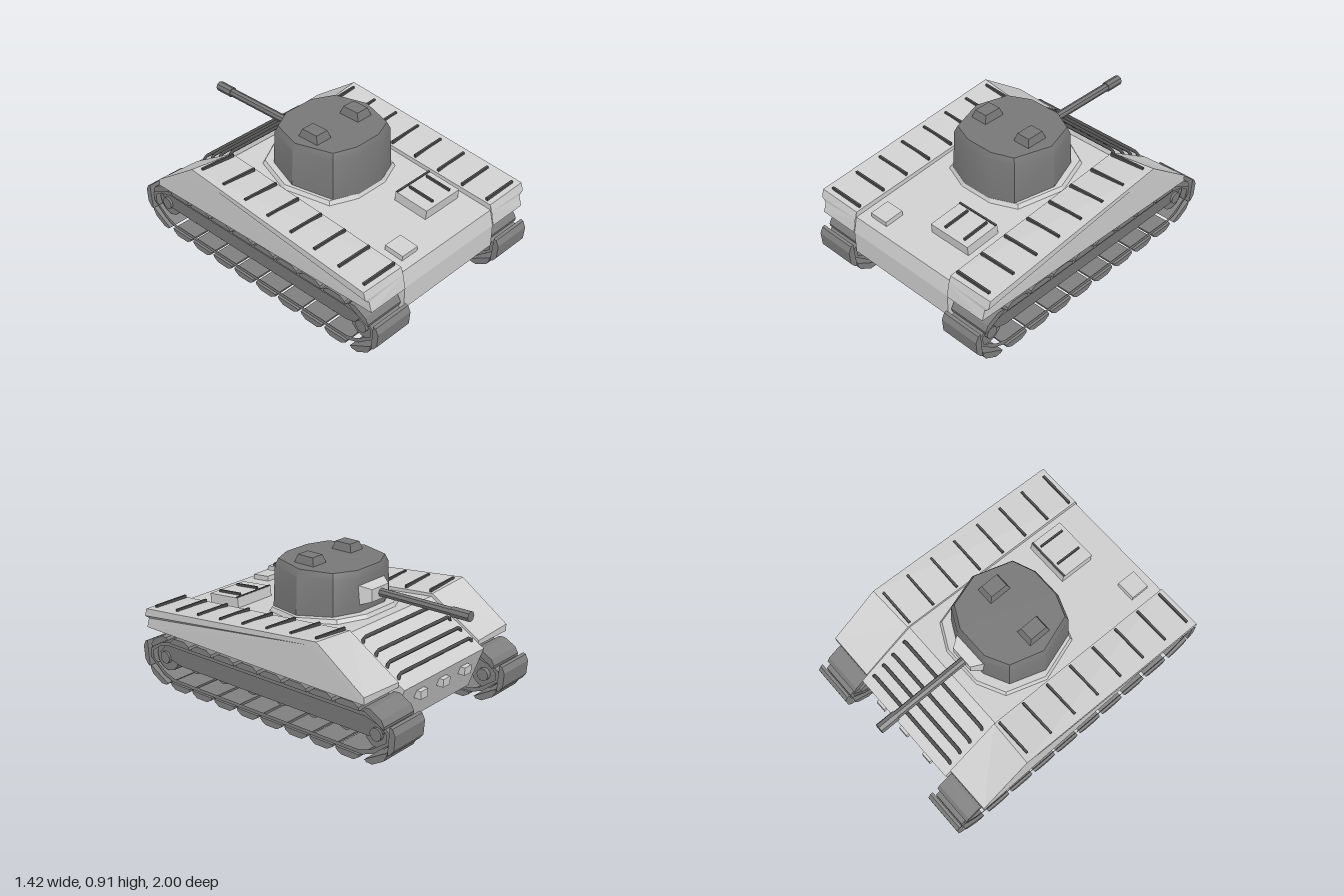
import * as THREE from 'three';
import { toCreasedNormals } from 'three/addons/utils/BufferGeometryUtils.js';

const mat = (name, color, side = THREE.FrontSide) => {
  const m = new THREE.MeshStandardMaterial({ color, side });
  m.name = name;
  return m;
};

// Extrudes a side profile of [z, y] points from x0 to x1
function profile(points, x0, x1, hole) {
  const toShape = (p) => p.map(([z, y]) => new THREE.Vector2(-z, y));
  const shape = new THREE.Shape(toShape(points));
  if (hole) shape.holes.push(new THREE.Path(toShape(hole)));
  const g = new THREE.ExtrudeGeometry(shape, { depth: x1 - x0, bevelEnabled: false });
  return g.rotateY(Math.PI / 2).translate(x0, 0, 0);
}

// Flat polygons, each a loop of [x, y, z] corners
function polygons(faces) {
  const pos = [];
  for (const f of faces)
    for (let i = 1; i < f.length - 1; i++) pos.push(...f[0], ...f[i], ...f[i + 1]);
  const g = new THREE.BufferGeometry();
  g.setAttribute('position', new THREE.Float32BufferAttribute(pos, 3));
  g.computeVertexNormals();
  return g;
}

// Stacks an [x, z] outline at [y, scale] levels, with a cap; slope tilts it along z
function stack(outline, levels, slope = 0, dz = 0) {
  const rings = levels.map(([y, s]) => outline.map(([x, z]) => [x * s, y - slope * z * s, z * s + dz]));
  const faces = [rings[rings.length - 1]];
  for (let k = 0; k < rings.length - 1; k++)
    outline.forEach((_, i) => {
      const j = (i + 1) % outline.length;
      faces.push([rings[k][i], rings[k][j], rings[k + 1][j], rings[k + 1][i]]);
    });
  return polygons(faces);
}

// Block whose top is smaller than its base
function taperedBlock(w, h, d, t) {
  const g = new THREE.BoxGeometry(w, h, d);
  const p = g.attributes.position;
  for (let i = 0; i < p.count; i++)
    if (p.getY(i) > 0) p.setXYZ(i, p.getX(i) * t, p.getY(i), p.getZ(i) * t);
  g.computeVertexNormals();
  return g;
}

export function createModel() {
  const model = new THREE.Group();
  const light = mat('hull light grey', 0xcfcfcf);
  const lightOpen = mat('fender light grey', 0xcfcfcf, THREE.DoubleSide);
  const dark = mat('turret grey', 0x777777);
  const trackGrey = mat('track grey', 0x7f7f7f);
  const trim = mat('dark trim', 0x505050);

  const add = (parent, name, geo, material, x = 0, y = 0, z = 0) => {
    const m = new THREE.Mesh(geo, material);
    m.name = name;
    m.position.set(x, y, z);
    parent.add(m);
    return m;
  };

  // Hull
  add(model, 'hull', profile([[0.92, 0.47], [0.945, 0.37], [0.945, 0.22], [0.76, 0.09], [-0.75, 0.09],
    [-0.85, 0.36], [-0.45, 0.6]], -0.4, 0.4), light);

  // Rear deck boxes
  const slant = Math.atan(0.095);
  const locker = add(model, 'deckLocker', new THREE.BoxGeometry(0.3, 0.1, 0.24), light, 0.19, 0.515, 0.6);
  locker.rotation.x = slant;
  for (const x of [-0.06, 0.095])
    add(locker, 'lockerRib', new THREE.BoxGeometry(0.012, 0.02, 0.18), trim, x, 0.055, 0);
  add(locker, 'lockerHinge', new THREE.BoxGeometry(0.3, 0.008, 0.012), trim, 0, 0.052, -0.112);
  add(model, 'deckBox', new THREE.BoxGeometry(0.13, 0.06, 0.13), light, -0.265, 0.485, 0.795).rotation.x = slant;

  // Rails across the sloped nose
  for (const z of [-0.78, -0.7, -0.62, -0.525]) {
    const y = 0.6 + (z + 0.45) * 0.6;
    const path = new THREE.CurvePath();
    const pts = [[-0.365, -0.01], [-0.355, 0.025], [0.355, 0.025], [0.365, -0.01]]
      .map(([x, dy]) => new THREE.Vector3(x, y + dy, z));
    for (let i = 0; i < 3; i++) path.add(new THREE.LineCurve3(pts[i], pts[i + 1]));
    add(model, 'noseRail', new THREE.TubeGeometry(path, 30, 0.011, 6), trim);
  }
  for (const x of [-0.22, 0, 0.22])
    add(model, 'towLug', new THREE.BoxGeometry(0.07, 0.05, 0.06), light, x, 0.28, -0.83);

  // Turret with its collar
  const outline = [[-0.1, 0.32], [0.11, 0.32], [0.26, 0.26], [0.345, 0], [0.275, -0.23], [0.12, -0.31],
    [-0.12, -0.31], [-0.275, -0.23], [-0.345, 0], [-0.26, 0.26]];
  add(model, 'turretCollar', stack(outline, [[0.53, 1.17], [0.585, 1.08]], 0.095, -0.03), light);
  const turretShape = stack(outline, [[0.5, 1], [0.82, 0.96], [0.863, 0.9]]);
  add(model, 'turret', toCreasedNormals(turretShape, 0.6), dark);
  for (const x of [-0.18, 0.17])
    add(model, 'hatch', taperedBlock(0.12, 0.055, 0.155, 0.75), dark, x, 0.885, 0.035);

  // Gun, pointing to -z
  const mantlet = add(model, 'mantlet', taperedBlock(0.26, 0.08, 0.13, 0.6), light, 0, 0.715, -0.325);
  mantlet.rotation.x = -Math.PI / 2;
  const tube = (name, r, z0, z1) => {
    const g = toCreasedNormals(new THREE.CylinderGeometry(r, r, z0 - z1, 8).rotateX(Math.PI / 2), 0.3);
    add(model, name, g, dark, -0.01, 0.715, (z0 + z1) / 2);
  };
  tube('gunBarrel', 0.027, -0.33, -0.88);
  tube('muzzle', 0.033, -0.875, -0.999);

  // One side: fender, strips, track and wheels
  const side = new THREE.Group();
  side.name = 'leftSide';
  const o = 0.71, n = 0.4, r = 0.68;
  add(side, 'fender', polygons([
    [[n, 0.505, 0.915], [o, 0.51, 0.915], [o, 0.65, -0.475], [n, 0.62, -0.46]],          // top
    [[n, 0.62, -0.46], [o, 0.65, -0.475], [o, 0.415, -0.81], [n, 0.4, -0.81]],           // nose slope
    [[n, 0.4, -0.81], [o, 0.415, -0.81], [o, 0.37, -0.81], [n, 0.37, -0.81]],            // nose end
    [[o, 0.51, 0.915], [o, 0.46, 0.93], [o, 0.62, -0.44], [o, 0.65, -0.475]],            // upper band
    [[o, 0.46, 0.93], [r, 0.435, 0.93], [o, 0.62, -0.44]],                               // overhang
    [[o, 0.62, -0.44], [r, 0.435, 0.93], [r, 0.37, 0.95], [o, 0.37, -0.81], [o, 0.415, -0.81], [o, 0.65, -0.475]],
    [[n, 0.505, 0.915], [n, 0.46, 0.93], [o, 0.46, 0.93], [o, 0.51, 0.915]],             // rear lip
    [[n, 0.46, 0.93], [n, 0.37, 0.95], [r, 0.37, 0.95], [r, 0.435, 0.93], [o, 0.46, 0.93]],
    [[n, 0.37, 0.95], [n, 0.37, -0.81], [o, 0.37, -0.81], [r, 0.37, 0.95]],              // underside
    [[n, 0.505, 0.915], [n, 0.62, -0.46], [n, 0.4, -0.81], [n, 0.37, -0.81], [n, 0.37, 0.95]],
  ]), lightOpen);
  for (let i = 0; i < 8; i++) {
    const z = 0.875 - i * 0.187;
    const strip = add(side, 'fenderStrip', new THREE.BoxGeometry(0.25, 0.026, 0.014), trim,
      0.54, 0.512 + (0.915 - z) * 0.091, z);
    strip.rotation.z = 0.02 * (0.915 - z) / 0.45;
  }

  // Track belt and its curved shoes
  const belt = [[0.78, 0.305], [-0.78, 0.305], [-0.89, 0.27], [-0.95, 0.22], [-0.95, 0.16], [-0.84, 0.07],
    [-0.76, 0.04], [0.76, 0.04], [0.84, 0.07], [0.95, 0.16], [0.95, 0.22], [0.89, 0.27]];
  const inner = belt.map(([z, y]) => [z * 0.975, 0.18 + (y - 0.18) * 0.83]);
  add(side, 'trackBelt', profile(belt, 0.42, 0.66, inner), trackGrey);
  const shoe = profile([[0.086, 0], [0.08, 0.018], [0.045, 0.04], [-0.045, 0.04], [-0.08, 0.018],
    [-0.086, 0]], 0.405, 0.677);
  const places = [[0.845, 0.285, 0.5], [0.955, 0.19, 1.65], [0.865, 0.07, 2.62],
    [-0.845, 0.285, -0.5], [-0.955, 0.19, -1.65], [-0.865, 0.07, -2.62]];
  for (let i = 0; i < 8; i++) {
    places.push([0.665 - 0.19 * i, 0.308, 0]);
    places.push([0.675 - 0.192 * i, 0.042, Math.PI]);
  }
  for (const [z, y, a] of places)
    add(side, 'trackShoe', shoe, trackGrey, 0, y, z).rotation.x = a;

  // Suspension plate with its ledge
  add(side, 'suspensionPlate', profile([[0.83, 0.275], [-0.84, 0.275], [-0.91, 0.24], [-0.86, 0.15],
    [0.72, 0.15], [0.9, 0.2]], 0.47, 0.63), dark);
  add(side, 'plateLedge', new THREE.BoxGeometry(0.24, 0.012, 1.66), trackGrey, 0.54, 0.285, 0);

  // Wheels
  const wheel = (name, radius, z, y, x0, x1) => {
    const g = new THREE.CylinderGeometry(radius, radius, x1 - x0, 12).rotateZ(Math.PI / 2);
    add(side, name, toCreasedNormals(g, 0.6), trackGrey, (x0 + x1) / 2, y, z);
  };
  for (const z of [-0.84, 0.84]) {
    wheel('endWheel', 0.095, z, 0.18, 0.44, 0.62);
    wheel('wheelHub', 0.04, z, 0.18, 0.41, 0.645);
  }
  for (let i = 0; i < 6; i++) wheel('roller', 0.055, 0.6 - i * 0.24, 0.178, 0.43, 0.61);
  model.add(side);

  // Mirrored other side
  const other = side.clone();
  other.name = 'rightSide';
  other.scale.x = -1;
  model.add(other);
  return model;
}
